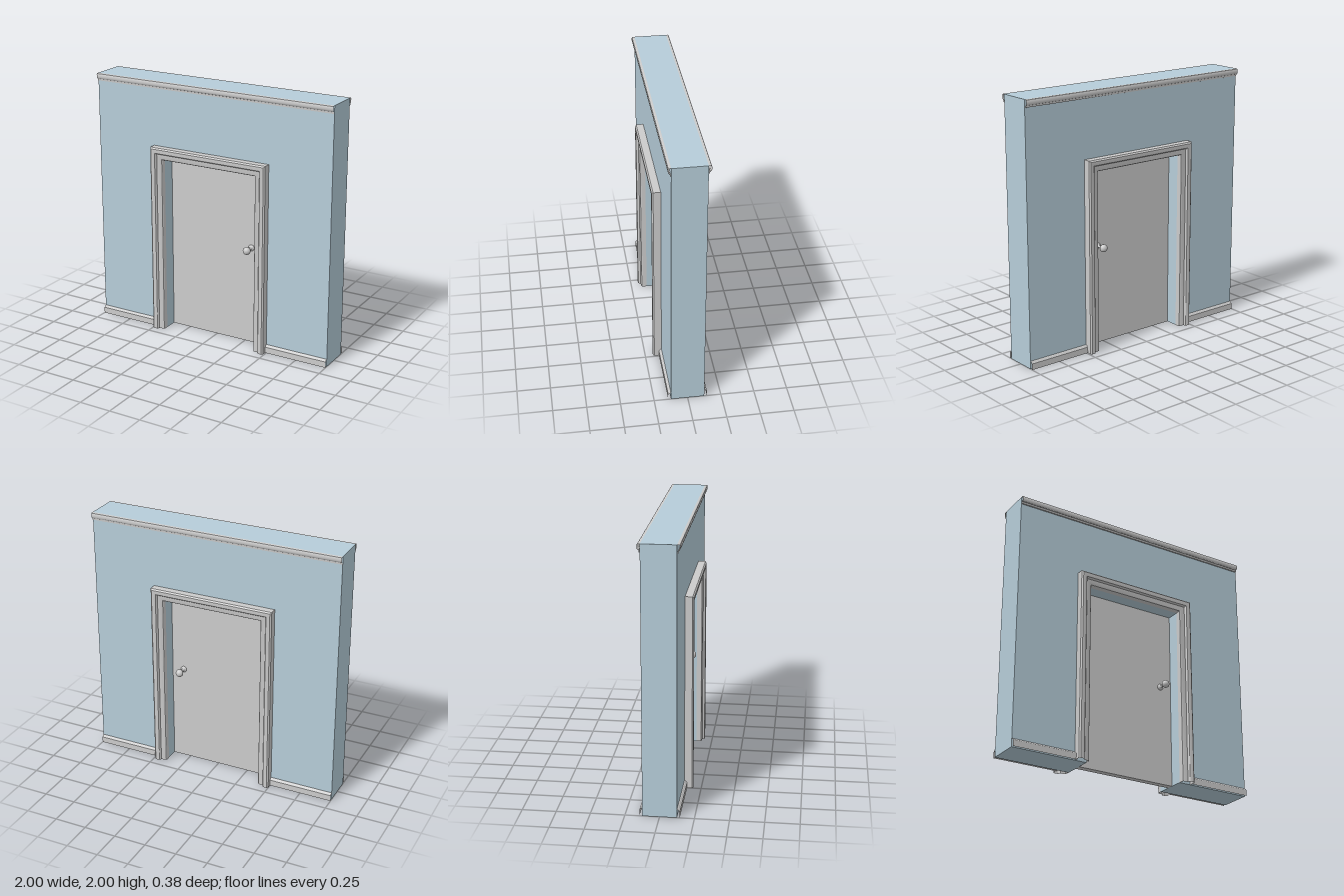
import * as THREE from 'three';
import { toCreasedNormals } from 'three/addons/utils/BufferGeometryUtils.js';

const grey = new THREE.MeshStandardMaterial({ color: 0xcccccc, side: THREE.DoubleSide });
const blue = new THREE.MeshStandardMaterial({ color: 0xb6cdd9 });

const CX = -0.004;    // centre of the doorway
const HALF = 0.4;     // half width of the doorway
const TOP = 1.4;      // height of the doorway
const WALL = 0.125;   // half thickness of the wall

// Skin a list of cross-sections, each a list of [x, y, z]
function loft(rows) {
  const n = rows[0].length;
  const index = [];
  for (let i = 0; i < rows.length - 1; i++) {
    for (let j = 0; j < n - 1; j++) {
      const a = i * n + j, b = a + n;
      index.push(a, b, b + 1, a, b + 1, a + 1);
    }
  }
  const geometry = new THREE.BufferGeometry();
  geometry.setAttribute('position', new THREE.Float32BufferAttribute(rows.flat(2), 3));
  geometry.setIndex(index);
  return toCreasedNormals(geometry, 0.5);
}

function add(parent, name, geometry, material = grey) {
  const mesh = new THREE.Mesh(geometry, material);
  mesh.name = name;
  parent.add(mesh);
  return mesh;
}

// Straight moulding along x from a profile of [z, y]
const strip = (profile, x0, x1) => loft([x0, x1].map(x => profile.map(([z, y]) => [x, y, z])));

const crownProfile = [
  [0.125, 1.94], [0.133, 1.942], [0.134, 1.956], [0.14, 1.958], [0.145, 1.964],
  [0.147, 1.972], [0.147, 1.99], [0.144, 1.997], [0.138, 2], [0.125, 2],
];
const basePofile = [
  [0.145, 0], [0.145, 0.047], [0.139, 0.05], [0.136, 0.055], [0.132, 0.06], [0.125, 0.062],
];
// Casing profile: [distance out from the doorway, z]
const casingProfile = [
  [0, WALL], [0, 0.158], [0.004, 0.164], [0.01, 0.167], [0.044, 0.17], [0.047, 0.18],
  [0.053, 0.187], [0.062, 0.19], [0.084, 0.19], [0.095, 0.18], [0.095, WALL],
];

// Mitred casing around both jambs and the head
function casingGeometry() {
  const stations = [[-1, 0], [-1, 1], [1, 1], [1, 0]];
  return loft(stations.map(([side, head]) => casingProfile.map(([u, z]) =>
    [side * (HALF + u), head * (TOP + u), z])));
}

// Rosette, stem and round knob
function knobGeometry() {
  const points = [[0.024, 0], [0.024, 0.006], [0.018, 0.011], [0.01, 0.014], [0.01, 0.05]];
  for (let i = 0; i <= 10; i++) {
    const a = -1.2 + (i / 10) * (1.2 + Math.PI / 2);
    points.push([Math.max(0, 0.03 * Math.cos(a)), 0.077 + 0.027 * Math.sin(a)]);
  }
  const geometry = new THREE.LatheGeometry(points.map(p => new THREE.Vector2(...p)), 24);
  return geometry.rotateX(Math.PI / 2);
}

export function createModel() {
  const model = new THREE.Group();
  model.name = 'wallWithDoor';

  // Wall with the doorway cut up from the floor
  const l = CX - HALF, r = CX + HALF;
  const outline = [[-1, 0], [l, 0], [l, TOP], [r, TOP], [r, 0], [1, 0], [1, 2], [-1, 2]];
  const shape = new THREE.Shape(outline.map(p => new THREE.Vector2(...p)));
  const wall = new THREE.ExtrudeGeometry(shape, { depth: 2 * WALL, bevelEnabled: false });
  add(model, 'wall', wall.translate(0, 0, -WALL), blue);

  // Door slab
  const door = add(model, 'door', new THREE.BoxGeometry(2 * HALF, TOP, 0.05));
  door.position.set(CX, TOP / 2, 0);

  // Mouldings, casing and knob on both faces
  for (const face of [1, -1]) {
    const name = face > 0 ? 'front' : 'back';
    const turn = face > 0 ? 0 : Math.PI;

    const trim = new THREE.Group();
    trim.name = name + 'Mouldings';
    trim.rotation.y = turn;
    add(trim, 'crownMoulding', strip(crownProfile, -1, 1));
    add(trim, 'rightBaseboard', strip(basePofile, -1, -0.49));
    add(trim, 'leftBaseboard', strip(basePofile, 0.49, 1));
    model.add(trim);

    const casing = add(model, name + 'DoorCasing', casingGeometry());
    casing.position.x = CX;
    casing.rotation.y = turn;

    const knob = add(model, name + 'Doorknob', knobGeometry());
    knob.position.set(0.3, 0.78, face * 0.025);
    knob.rotation.y = turn;
  }
  return model;
}
